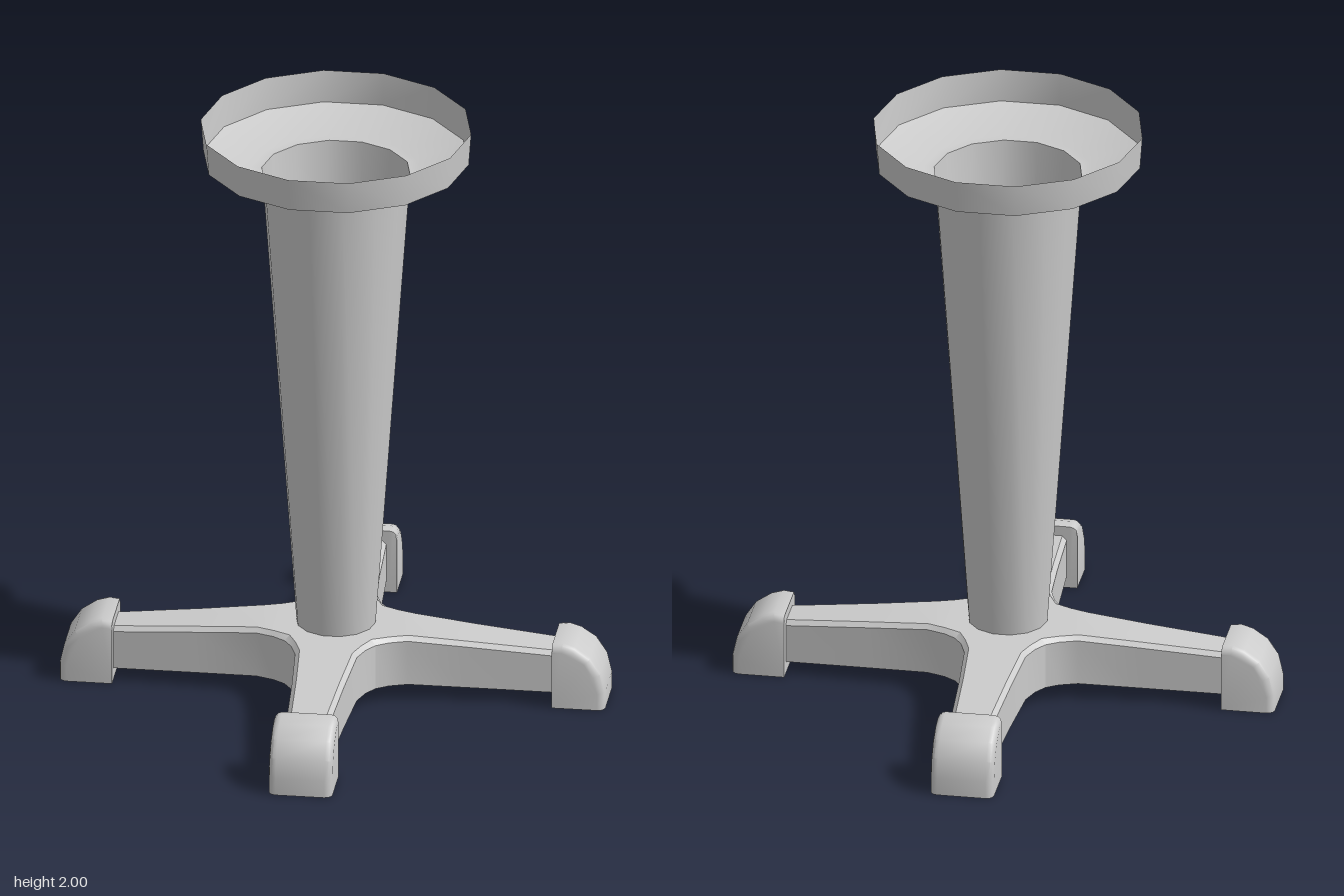
import * as THREE from 'three';
import { toCreasedNormals } from 'three/addons/utils/BufferGeometryUtils.js';

const grey = new THREE.MeshStandardMaterial({ color: 0xcccccc });
const greyThin = new THREE.MeshStandardMaterial({ color: 0xcccccc, side: THREE.DoubleSide });

function mesh(name, geometry, material = grey) {
  const m = new THREE.Mesh(toCreasedNormals(geometry, 0.6), material);
  m.name = name;
  return m;
}

// 14-sided turned shell with corners on the x axis
function turned(points) {
  return new THREE.LatheGeometry(points.map(([r, y]) => new THREE.Vector2(r, y)), 14, Math.PI / 2);
}

// One leg and its quarter of the hub, lofted along +x
function legGeometry() {
  const bevel = 0.015;
  // distance, half width, bottom, top
  const stations = [
    [0.15, 0.15, 0.055, 0.225],
    [0.19, 0.123, 0.055, 0.225],
    [0.25, 0.102, 0.055, 0.225],
    [0.45, 0.086, 0.048, 0.208],
    [0.74, 0.069, 0.04, 0.185],
  ];
  const loops = stations.map(([x, w, lo, hi], i) => {
    const xb = i === 0 ? x - bevel : x; // mitre the bevel where legs meet
    return [
      [x, lo, -w], [x, hi - bevel, -w], [xb, hi, -w + bevel],
      [xb, hi, w - bevel], [x, hi - bevel, w], [x, lo, w],
    ];
  });
  const pos = [];
  const tri = (...corners) => corners.forEach((c) => pos.push(...c));
  const first = loops[0];
  const last = loops[loops.length - 1];
  tri([0, 0.225, 0], first[3], first[2]);
  tri([0, 0.055, 0], first[0], first[5]);
  for (let s = 0; s < loops.length - 1; s++) {
    for (let j = 0; j < 6; j++) {
      const k = (j + 1) % 6;
      const [a, b, c, d] = [loops[s][j], loops[s][k], loops[s + 1][k], loops[s + 1][j]];
      tri(a, b, c);
      tri(a, c, d);
    }
  }
  for (let j = 1; j < 5; j++) tri(last[0], last[j], last[j + 1]);
  const g = new THREE.BufferGeometry();
  g.setAttribute('position', new THREE.Float32BufferAttribute(pos, 3));
  return g;
}

// Rounded end cap: bevelled side profile, cut flat at the floor and inner face
function footGeometry() {
  const profile = [
    [0.66, -0.06], [0.9, -0.06], [0.9, 0.06], [0.885, 0.125], [0.85, 0.178],
    [0.8, 0.212], [0.76, 0.224], [0.725, 0.22], [0.66, 0.21],
  ];
  const shape = new THREE.Shape(profile.map(([x, y]) => new THREE.Vector2(x, y)));
  const b = 0.025;
  const g = new THREE.ExtrudeGeometry(shape, {
    depth: 0.21 - 2 * b, bevelThickness: b, bevelSize: b, bevelOffset: -b, bevelSegments: 3,
  });
  g.translate(0, 0, -0.105 + b);
  const p = g.attributes.position;
  for (let i = 0; i < p.count; i++) {
    p.setX(i, Math.max(p.getX(i), 0.725));
    p.setY(i, Math.max(p.getY(i), 0));
  }
  return g;
}

export function createModel() {
  const model = new THREE.Group();
  model.name = 'pedestalStand';

  // Hollow tapering column and shallow open dish
  model.add(mesh('column', turned([[0.13, 0.215], [0.245, 1.84]]), greyThin));
  model.add(mesh('dish', turned([[0.245, 1.84], [0.28, 1.84], [0.438, 1.89], [0.446, 2]]), greyThin));

  // Four legs with feet
  const leg = legGeometry();
  const foot = footGeometry();
  for (let i = 0; i < 4; i++) {
    const arm = new THREE.Group();
    arm.name = 'leg' + (i + 1);
    arm.add(mesh('legBar', leg), mesh('foot', foot));
    arm.rotation.y = (i * Math.PI) / 2;
    model.add(arm);
  }
  return model;
}
